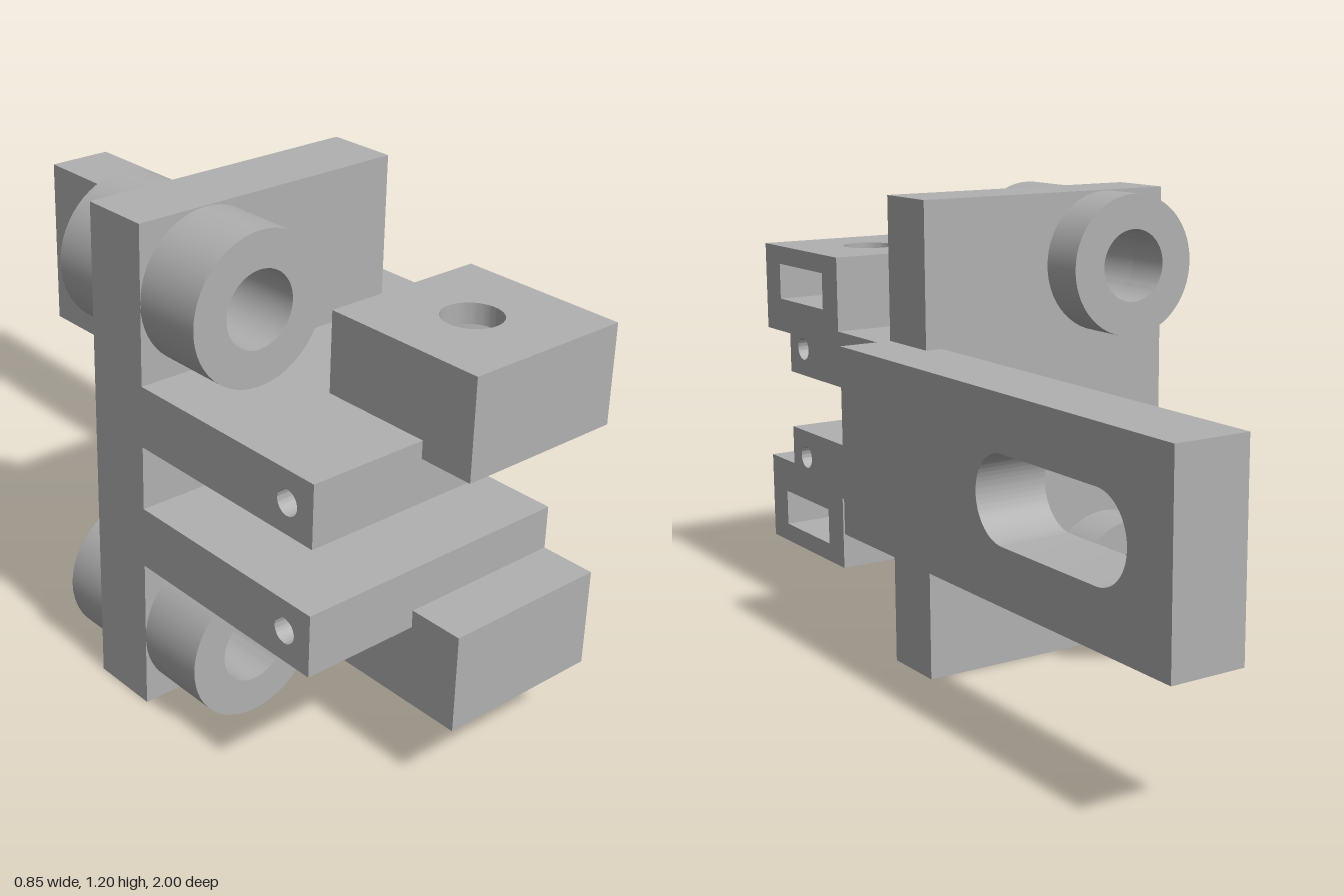
import * as THREE from 'three';
import { toCreasedNormals } from 'three/addons/utils/BufferGeometryUtils.js';

const MID = 0.5975; // height of the mirror plane
const grey = new THREE.MeshStandardMaterial({ color: 0xb0b0b0 });
grey.name = 'grey';

const outline = (pts) => new THREE.Shape(pts.map(([x, y]) => new THREE.Vector2(x, y)));
const rect = (x0, y0, x1, y1) => outline([[x0, y0], [x1, y0], [x1, y1], [x0, y1]]);
const circle = (x, y, r) => new THREE.Path().absarc(x, y, r, 0, Math.PI * 2);

// Extrude a shape from a to b along the given axis.
// Shape coordinates: z axis (x, y); x axis (-z, y); y axis (x, -z).
function extrude(name, shape, axis, a, b) {
  let g = new THREE.ExtrudeGeometry(shape, { depth: b - a, bevelEnabled: false, curveSegments: 28 });
  g.translate(0, 0, a);
  if (axis === 'x') g.rotateY(Math.PI / 2);
  if (axis === 'y') g.rotateX(-Math.PI / 2);
  g = toCreasedNormals(g, 0.5);
  const mesh = new THREE.Mesh(g, grey);
  mesh.name = name;
  return mesh;
}

// One clamp jaw; s = 1 is the upper one, s = -1 its mirror image below.
function makeJaw(s) {
  const jaw = new THREE.Group();
  jaw.name = s > 0 ? 'upperJaw' : 'lowerJaw';
  const Y = (y) => MID + s * (y - MID);
  const side = (pts) => outline(pts.map(([z, y]) => [-z, Y(y)]));
  const pinY = 0.748, pinZ = 0.788, pinR = 0.03;
  const boltX = 0.077, boltR = 0.069;

  // slab with a pin hole running across it
  const full = side([[0.31, 0.675], [0.865, 0.675], [0.865, 0.822], [0.31, 0.822]]);
  const stepped = side([[0.31, 0.675], [0.865, 0.675], [0.865, 0.78], [0.585, 0.78], [0.585, 0.822], [0.31, 0.822]]);
  for (const shape of [full, stepped]) shape.holes.push(circle(-pinZ, Y(pinY), pinR));

  // slab section under the bolt hole: a pocket with the pin groove in its floor
  const groove = [];
  for (let i = 0; i <= 16; i++) {
    const a = Math.PI * i / 16;
    groove.push([pinZ + pinR * Math.cos(a), pinY - pinR * Math.sin(a)]);
  }
  const pocket = side([
    [0.31, 0.675], [0.865, 0.675], [0.865, 0.78], [pinZ + boltR, 0.78], [pinZ + boltR, pinY],
    ...groove,
    [pinZ - boltR, pinY], [pinZ - boltR, 0.78], [0.585, 0.78], [0.585, 0.822], [0.31, 0.822],
  ]);
  jaw.add(
    extrude('slabOuter', full, 'x', -0.425, -0.13),
    extrude('slabInner', stepped, 'x', -0.13, boltX - boltR),
    extrude('slabPocket', pocket, 'x', boltX - boltR, boltX + boltR),
    extrude('slabEnd', stepped, 'x', boltX + boltR, 0.285),
  );

  // block in three layers: bolt hole, nut slot, bolt hole
  const layer = (name, shape, a, b) =>
    jaw.add(extrude(name, shape, 'y', Math.min(Y(a), Y(b)), Math.max(Y(a), Y(b))));
  const bored = rect(-0.13, -1, 0.285, -0.585);
  bored.holes.push(circle(boltX, -pinZ, boltR));
  const slotted = outline([
    [-0.13, -1], [0.285, -1], [0.285, -0.916], [boltX, -0.916], [boltX, -0.894],
    [0.016, -0.894], [-0.044, -pinZ], [0.016, -0.696], [boltX, -0.696], [boltX, -0.668],
    [0.285, -0.668], [0.285, -0.585], [-0.13, -0.585],
  ]);
  layer('blockBase', bored, 0.78, 0.87);
  layer('blockNutSlot', slotted, 0.87, 0.966);
  layer('blockCap', bored, 0.966, 1.015);
  return jaw;
}

export function createModel() {
  const model = new THREE.Group();
  model.name = 'clampBracket';
  const bushX = -0.247, bushR = 0.178, boreR = 0.091;
  const bushYs = [0.18, 2 * MID - 0.18];

  // upright plate, bored for the bushings
  const plate = rect(-0.425, 0, 0.285, 2 * MID);
  for (const y of bushYs) plate.holes.push(circle(bushX, y, boreR));
  model.add(extrude('plate', plate, 'z', 0.136, 0.31));

  // bushings standing out on both faces of the plate
  for (const y of bushYs) {
    const ring = new THREE.Shape().absarc(bushX, y, bushR, 0, Math.PI * 2);
    ring.holes.push(circle(bushX, y, boreR));
    model.add(extrude('bushingFront', ring, 'z', 0.31, 0.49));
    model.add(extrude('bushingBack', ring, 'z', 0.015, 0.136));
  }

  // rear arm with a rounded slot
  const arm = rect(-0.31, 0.36, 1, 0.835);
  const slotR = 0.103;
  const slot = new THREE.Path();
  slot.absarc(0.305 + slotR, MID + 0.002, slotR, Math.PI / 2, Math.PI * 1.5);
  slot.absarc(0.857 - slotR, MID + 0.002, slotR, -Math.PI / 2, Math.PI / 2);
  arm.holes.push(slot);
  model.add(extrude('arm', arm, 'x', 0.241, 0.425));

  model.add(makeJaw(1), makeJaw(-1));
  return model;
}
